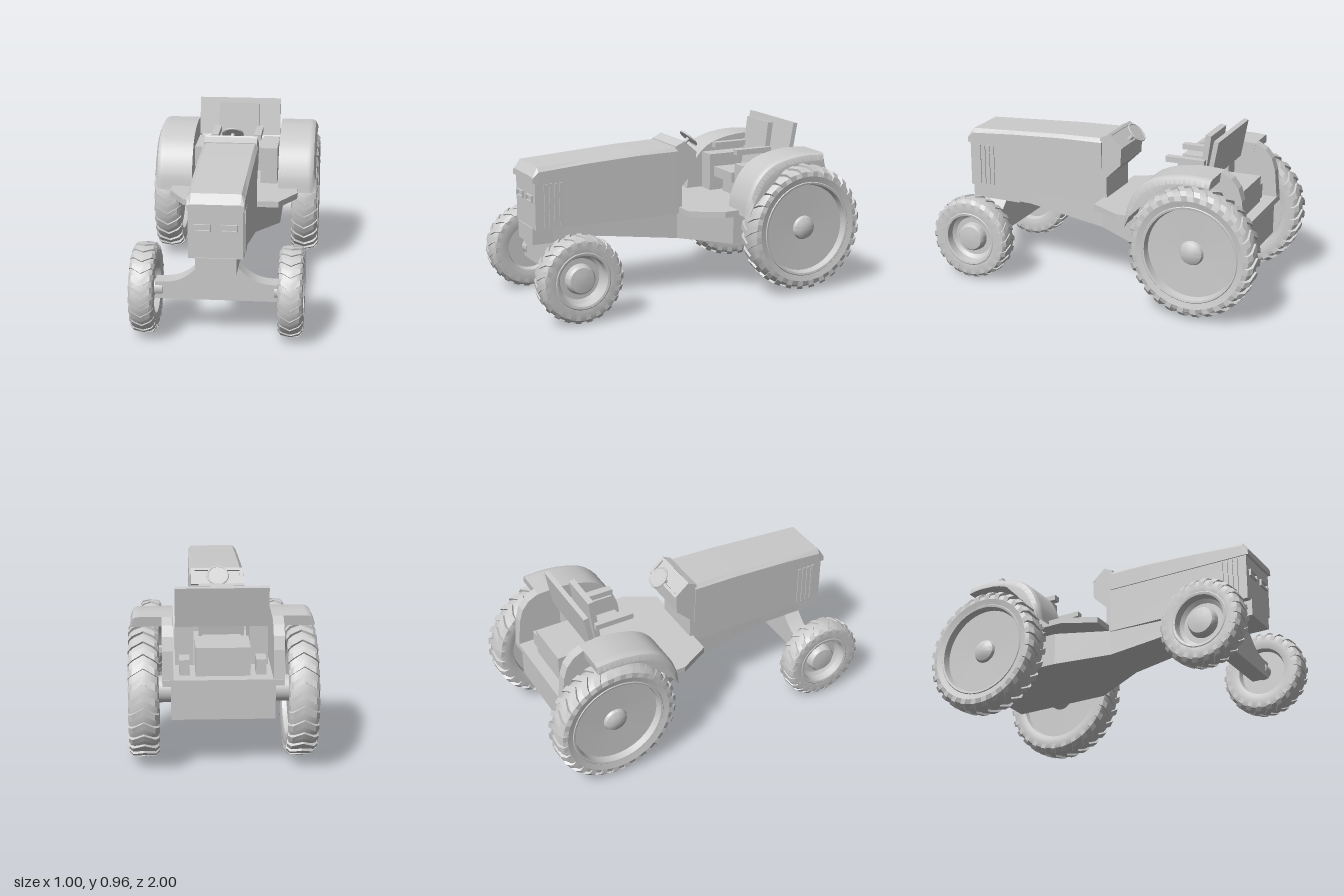
import * as THREE from 'three';
import { mergeGeometries, toCreasedNormals } from 'three/addons/utils/BufferGeometryUtils.js';

const material = new THREE.MeshStandardMaterial({ color: 0xcccccc, side: THREE.DoubleSide });

function add(parent, name, geometry, x = 0, y = 0, z = 0) {
  const mesh = new THREE.Mesh(geometry, material);
  mesh.name = name;
  mesh.position.set(x, y, z);
  parent.add(mesh);
  return mesh;
}

// Box given by its limits
function box(parent, name, [x0, x1], [y0, y1], [z0, z1]) {
  return add(parent, name, new THREE.BoxGeometry(x1 - x0, y1 - y0, z1 - z0),
    (x0 + x1) / 2, (y0 + y1) / 2, (z0 + z1) / 2);
}

const shapeOf = (points) => new THREE.Shape(points.map(([a, b]) => new THREE.Vector2(a, b)));

// Side outline in (z, y) extruded from x0 to x1
function sideSolid(shape, x0, x1, steps = 1) {
  const g = new THREE.ExtrudeGeometry(shape, { depth: x1 - x0, steps, bevelEnabled: false, curveSegments: 8 });
  return g.rotateY(-Math.PI / 2).translate(x1, 0, 0);
}

// Skin over cross-sections running from front to back, with flat ends
function loft(sections) {
  const out = [];
  const n = sections[0].length;
  const tri = (a, b, c) => out.push(...a, ...b, ...c);
  for (let s = 0; s < sections.length - 1; s++) {
    for (let i = 0; i < n; i++) {
      const j = (i + 1) % n, p = sections[s], q = sections[s + 1];
      tri(p[i], q[j], q[i]);
      tri(p[i], p[j], q[j]);
    }
  }
  const first = sections[0], last = sections[sections.length - 1];
  for (let i = 1; i < n - 1; i++) {
    tri(first[0], first[i + 1], first[i]);
    tri(last[0], last[i], last[i + 1]);
  }
  const g = new THREE.BufferGeometry();
  g.setAttribute('position', new THREE.Float32BufferAttribute(out, 3));
  g.computeVertexNormals();
  return g;
}

// Chevron tread bars wrapped round the tyre
function treadGeometry(radius, half, count, sweep) {
  const bars = [];
  for (let k = 0; k < count; k++) {
    const g = new THREE.BoxGeometry(2, 1, 1, 8, 1, 1);
    const p = g.attributes.position;
    for (let i = 0; i < p.count; i++) {
      const u = p.getX(i), a = Math.abs(u);
      const shoulder = a > 0.8 ? 0.028 : 0.008 * a;
      const r = radius - shoulder - (p.getY(i) > 0 ? 0 : 0.03);
      const angle = (k / count) * Math.PI * 2 - sweep * a + p.getZ(i) * (2.9 / count);
      p.setXYZ(i, u * half, r * Math.cos(angle), r * Math.sin(angle));
    }
    bars.push(toCreasedNormals(g, 0.4));
  }
  return mergeGeometries(bars);
}

function wheel(parent, name, side, [x, y, z], profile, tread) {
  const group = new THREE.Group();
  group.name = name;
  group.position.set(side * x, y, z);
  parent.add(group);
  const lathe = new THREE.LatheGeometry(profile.map(([r, h]) => new THREE.Vector2(r, h)), 56);
  add(group, 'tyreAndRim', toCreasedNormals(lathe, 0.5)).rotation.z = -side * Math.PI / 2;
  add(group, 'tread', treadGeometry(...tread));
}

const rearProfile = [[0, -0.045], [0.25, -0.045], [0.258, -0.07], [0.275, -0.074], [0.31, -0.08], [0.335, -0.072],
  [0.349, -0.05], [0.356, 0], [0.349, 0.05], [0.335, 0.072], [0.31, 0.08], [0.277, 0.072], [0.273, 0.076],
  [0.262, 0.074], [0.253, 0.035], [0.07, 0.03], [0.062, 0.046], [0.04, 0.058], [0, 0.064]];
const frontProfile = [[0, -0.03], [0.13, -0.03], [0.14, -0.06], [0.16, -0.064], [0.2, -0.066], [0.222, -0.06],
  [0.234, -0.042], [0.238, 0], [0.234, 0.042], [0.222, 0.06], [0.2, 0.066], [0.16, 0.064], [0.155, 0.067],
  [0.142, 0.064], [0.136, 0.02], [0.115, 0.005], [0.085, 0.005], [0.08, 0.035], [0.07, 0.048], [0.03, 0.054], [0, 0.054]];

// Fender outline in (z, y), front to back
const fenderTop = [[-0.235, 0.49], [-0.25, 0.59], [-0.295, 0.69], [-0.37, 0.765], [-0.47, 0.805], [-0.6, 0.825], [-0.74, 0.82]];
const wheelZ = -0.628, wheelY = 0.385;

function fenderSheet() {
  const shape = new THREE.Shape();
  shape.moveTo(...fenderTop[0]);
  shape.splineThru(fenderTop.slice(1).map(([a, b]) => new THREE.Vector2(a, b)));
  for (let i = 0; i <= 14; i++) {
    const t = 1.84 - (i / 14) * 1.54;
    shape.lineTo(wheelZ + 0.395 * Math.cos(t), wheelY + 0.395 * Math.sin(t));
  }
  const g = sideSolid(shape, 0.26, 0.485, 18);
  const p = g.attributes.position;
  // Round the outer shoulder
  for (let i = 0; i < p.count; i++) {
    const dz = p.getZ(i) - wheelZ, dy = p.getY(i) - wheelY, r = Math.hypot(dz, dy);
    const e = Math.max(0, (p.getX(i) - 0.445) / 0.04);
    if (r > 0.4 && e > 0) {
      const f = Math.max(0.397, r - 0.04 * (1 - Math.sqrt(Math.max(0, 1 - e * e)))) / r;
      p.setY(i, wheelY + dy * f);
      p.setZ(i, wheelZ + dz * f);
    }
  }
  return toCreasedNormals(g, 0.55);
}

export function createModel() {
  const model = new THREE.Group();
  model.name = 'tractor';

  // Engine body and chamfered hood
  const ring = (z, w, y0, y1) => [[-w, y0, z], [w, y0, z], [w, y1, z], [-w, y1, z]];
  add(model, 'engineBody', loft([ring(0.905, 0.145, 0.475, 0.745), ring(0.04, 0.154, 0.475, 0.745)]));
  const hood = [[0.92, 0.15, 0.768, 0.775], [0.885, 0.152, 0.8, 0.825], [0.6, 0.155, 0.822, 0.841],
    [0.3, 0.158, 0.838, 0.858], [0.04, 0.16, 0.842, 0.865]];
  add(model, 'hood', loft(hood.map(([z, w, y1, y2]) => [[-w, 0.74, z], [w, 0.74, z], [w, y1, z],
    [w - 0.02, y2, z], [-w + 0.02, y2, z], [-w, y1, z]])));

  // Chassis widening to the rear, nose block beneath the engine
  add(model, 'chassis', loft([ring(0.86, 0.105, 0.4, 0.478), ring(0.52, 0.12, 0.395, 0.478),
    ring(0.04, 0.148, 0.33, 0.482), ring(-0.26, 0.275, 0.29, 0.482), ring(-0.86, 0.275, 0.29, 0.482)]));
  box(model, 'noseBlock', [-0.108, 0.108], [0.385, 0.48], [0.6, 0.912]);

  // Front axle with concave shoulders
  const axle = shapeOf([[-0.34, 0.2], [0.34, 0.2], [0.34, 0.295], [0.29, 0.295]]);
  axle.bezierCurveTo(0.2, 0.3, 0.16, 0.33, 0.1, 0.395);
  axle.lineTo(-0.1, 0.395);
  axle.bezierCurveTo(-0.16, 0.33, -0.2, 0.3, -0.29, 0.295);
  axle.lineTo(-0.34, 0.295);
  const axleGeometry = new THREE.ExtrudeGeometry(axle, { depth: 0.1, bevelEnabled: false });
  add(model, 'frontAxle', toCreasedNormals(axleGeometry, 0.5), 0, 0, 0.695);

  // Driver's deck
  const deck = shapeOf([[-0.28, -0.03], [0.28, -0.03], [0.38, 0.15], [0.38, 0.3], [0.315, 0.3], [0.315, 0.88],
    [-0.315, 0.88], [-0.315, 0.3], [-0.38, 0.3], [-0.38, 0.15]]);
  const deckGeometry = new THREE.ExtrudeGeometry(deck, { depth: 0.035, bevelEnabled: false });
  add(model, 'deck', deckGeometry.rotateX(-Math.PI / 2).scale(1, 1, 1), 0, 0.48, 0).geometry.scale(1, 1, 1);

  // Dashboard with a framed instrument slope
  const dash = shapeOf([[0.05, 0.48], [0.05, 0.87], [0.005, 0.89], [-0.08, 0.817], [-0.076, 0.72], [0.01, 0.637], [0.01, 0.48]]);
  add(model, 'dashboard', sideSolid(dash, -0.152, 0.152));
  const frame = shapeOf([[-0.152, -0.056], [0.152, -0.056], [0.152, 0.056], [-0.152, 0.056]]);
  frame.holes.push(shapeOf([[-0.13, -0.04], [-0.13, 0.04], [0.13, 0.04], [0.13, -0.04]]));
  const bezel = add(model, 'dashboardFrame', new THREE.ExtrudeGeometry(frame, { depth: 0.01, bevelEnabled: false }),
    0, 0.8535, -0.0375);
  bezel.lookAt(0, 0.8535 + 0.76, -0.0375 - 0.65);

  // Steering wheel and column
  const steering = new THREE.Group();
  steering.name = 'steering';
  steering.position.set(0, 0.88, -0.11);
  steering.rotation.x = -Math.PI / 4;
  model.add(steering);
  add(steering, 'steeringRim', new THREE.TorusGeometry(0.058, 0.006, 8, 32).rotateX(Math.PI / 2));
  add(steering, 'steeringDish', new THREE.CylinderGeometry(0.056, 0.05, 0.005, 32));
  add(steering, 'steeringColumn', new THREE.CylinderGeometry(0.012, 0.012, 0.09, 12), 0, -0.045, 0);

  // Seat, its backrest and the box behind
  box(model, 'seatBase', [-0.105, 0.105], [0.515, 0.61], [-0.6, -0.4]);
  box(model, 'seatCushion', [-0.105, 0.105], [0.61, 0.67], [-0.6, -0.34]);
  const back = shapeOf([[-0.535, 0.64], [-0.575, 0.955], [-0.608, 0.95], [-0.568, 0.64]]);
  add(model, 'seatBack', sideSolid(back, -0.122, 0.122));
  const panel = shapeOf([[-0.63, 0.74], [-0.67, 0.965], [-0.697, 0.96], [-0.657, 0.74]]);
  add(model, 'rearPanel', sideSolid(panel, -0.25, 0.25));
  box(model, 'rearBox', [-0.145, 0.145], [0.515, 0.67], [-0.815, -0.6]);

  for (const side of [1, -1]) {
    const tag = side > 0 ? 'left' : 'right';
    const half = new THREE.Group();
    half.name = tag + 'Side';
    model.add(half);
    const across = (a, b) => (side > 0 ? [a, b] : [-b, -a]);

    wheel(half, tag + 'RearWheel', side, [0.418, wheelY, wheelZ], rearProfile, [0.368, 0.08, 28, 0.13]);
    wheel(half, tag + 'FrontWheel', side, [0.392, 0.25, 0.757], frontProfile, [0.246, 0.066, 22, 0.17]);
    add(half, 'rearAxleHousing', new THREE.CylinderGeometry(0.072, 0.072, 0.15, 32).rotateZ(Math.PI / 2),
      side * 0.32, 0.382, wheelZ);
    add(half, 'frontHub', new THREE.CylinderGeometry(0.045, 0.045, 0.08, 24).rotateZ(Math.PI / 2), side * 0.34, 0.25, 0.757);

    // Fender: outer sheet and inner wall
    const fender = new THREE.Group();
    fender.name = tag + 'Fender';
    fender.scale.x = side;
    half.add(fender);
    add(fender, 'fenderSheet', fenderSheet());
    const wall = shapeOf([...fenderTop, [-0.8, 0.79], [-0.84, 0.74], [-0.862, 0.67], [-0.88, 0.48]]);
    add(fender, 'fenderWall', sideSolid(wall, 0.262, 0.32));

    // Consoles, armrests and rear fittings
    box(half, 'console', across(0.15, 0.25), [0.515, 0.735], [-0.62, -0.335]);
    box(half, 'armrest', across(0.108, 0.15), [0.78, 0.812], [-0.58, -0.35]);
    box(half, 'rearBlock', across(0.175, 0.23), [0.515, 0.6], [-0.8, -0.7]);

    // Headlight and side grille bars
    const lamp = shapeOf([[0.025, 0.625], [0.115, 0.625], [0.115, 0.664], [0.025, 0.664]]);
    lamp.holes.push(shapeOf([[0.033, 0.632], [0.033, 0.657], [0.107, 0.657], [0.107, 0.632]]));
    add(half, 'headlight', new THREE.ExtrudeGeometry(lamp, { depth: 0.016, bevelEnabled: false }), side > 0 ? 0 : -0.14, 0, 0.902);
    for (let i = 0; i < 4; i++) {
      const z = 0.755 + i * 0.03;
      box(half, 'grilleBar', across(0.135, 0.152), [0.49, 0.73], [z - 0.009, z + 0.009]);
    }
  }
  return model;
}
